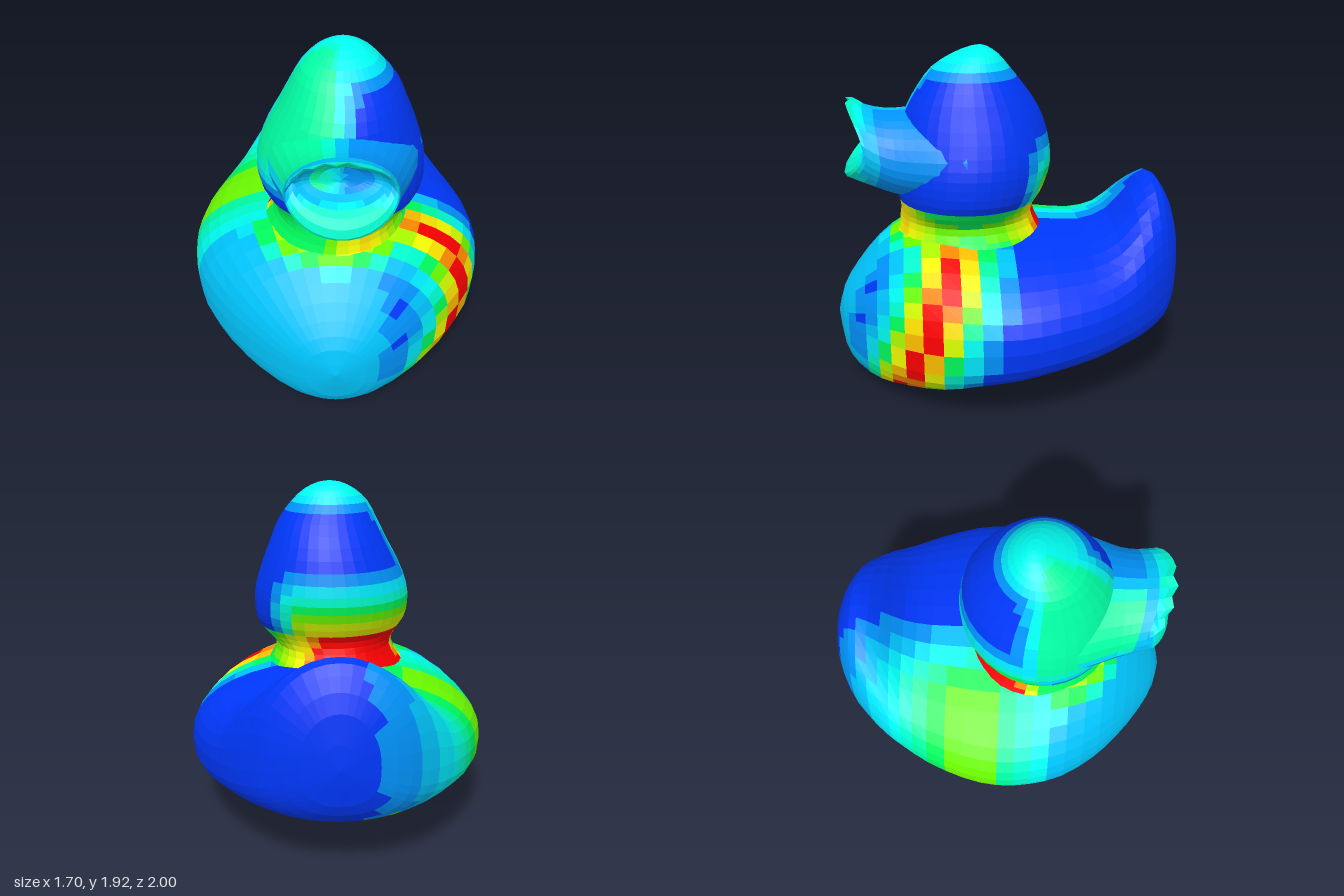
import * as THREE from 'three';

const TAU = Math.PI * 2;
const { smoothstep, clamp } = THREE.MathUtils;

// Facet palette from blue (0) through cyan, green and yellow to red (1)
const LEVELS = 16;
const materials = Array.from({ length: LEVELS }, (_, i) => new THREE.MeshStandardMaterial({
  color: new THREE.Color().setHSL(0.66 * (1 - i / (LEVELS - 1)), 1, 0.48),
  flatShading: true,
  side: THREE.DoubleSide,
}));

// Smoothly resample the rows of a cross-section table
function resample(rows, steps) {
  const out = [];
  const last = rows.length - 1;
  const at = (i) => rows[clamp(i, 0, last)];
  for (let i = 0; i < last; i++) {
    for (let s = 0; s < steps; s++) {
      const t = s / steps;
      out.push(rows[i].map((p1, k) => {
        const p0 = at(i - 1)[k], p2 = at(i + 1)[k], p3 = at(i + 2)[k];
        return p1 + 0.5 * t * (p2 - p0 + t * (2 * p0 - 5 * p1 + 4 * p2 - p3 + t * (3 * (p1 - p2) + p3 - p0)));
      }));
    }
  }
  out.push(rows[last]);
  return out;
}

// Skin rings made by ring(row, angle, index), choosing a heat (0 to 1) for each facet
function loft(name, rows, sides, ring, heat) {
  const points = rows.map((row) =>
    Array.from({ length: sides }, (_, j) => ring(row, (j / sides) * TAU, j)));
  const buckets = materials.map(() => []);
  for (let i = 0; i < rows.length - 1; i++) {
    for (let j = 0; j < sides; j++) {
      const n = (j + 1) % sides;
      const centre = points[i][j].clone().lerp(points[i + 1][n], 0.5);
      const k = Math.round(clamp(heat(centre), 0, 1) * (LEVELS - 1));
      const id = (r, q) => r * sides + q;
      buckets[k].push(id(i, j), id(i, n), id(i + 1, n), id(i, j), id(i + 1, n), id(i + 1, j));
    }
  }
  const geometry = new THREE.BufferGeometry().setFromPoints(points.flat());
  geometry.setIndex(buckets.flat());
  let start = 0;
  buckets.forEach((b, k) => {
    if (b.length) geometry.addGroup(start, b.length, k);
    start += b.length;
  });
  geometry.computeVertexNormals();
  const mesh = new THREE.Mesh(geometry, materials);
  mesh.name = name;
  return mesh;
}

const bell = (v, centre, width) => Math.exp(-(((v - centre) / width) ** 2));

// Body and upturned tail: z, half width, bottom, widest height, top
const bodyRows = [
  [-1, 0, 0.65, 0.65, 0.65],
  [-0.97, 0.2, 0.44, 0.65, 0.93],
  [-0.9, 0.36, 0.33, 0.6, 1.1],
  [-0.82, 0.46, 0.28, 0.57, 1.17],
  [-0.7, 0.57, 0.25, 0.54, 1.08],
  [-0.58, 0.65, 0.23, 0.52, 0.95],
  [-0.42, 0.74, 0.2, 0.5, 0.89],
  [-0.2, 0.82, 0.17, 0.48, 0.9],
  [0, 0.85, 0.13, 0.46, 0.9],
  [0.2, 0.83, 0.085, 0.45, 0.92],
  [0.4, 0.765, 0.035, 0.43, 0.94],
  [0.6, 0.63, 0.01, 0.41, 0.9],
  [0.75, 0.48, 0, 0.4, 0.8],
  [0.88, 0.31, 0.05, 0.38, 0.65],
  [0.96, 0.16, 0.16, 0.37, 0.52],
  [1, 0, 0.37, 0.37, 0.37],
];

// Sections are full below, rounder above, with a hollow under the belly
function bodyRing([z, w, bottom, middle, top], a) {
  const s = Math.sin(a);
  const x = w * Math.cos(a);
  if (s > 0) return new THREE.Vector3(x, middle + (top - middle) * s ** 0.9, z);
  const hollow = 0.09 * s * s * bell(x, 0, 0.4) * bell(z, -0.2, 0.4);
  return new THREE.Vector3(x, middle - (middle - bottom) * (-s) ** 0.65 + hollow, z);
}

function bodyHeat({ x, y, z }) {
  // Underside
  if (y < 0.2 - 0.18 * z && z < 0.75 && z > -0.43 + 1.67 * x) {
    return 0.5 + 0.35 * bell(x, -0.42, 0.2) * bell(z, 0.05, 0.2);
  }
  const stripe = bell(z, 0.47 - 0.4 * (y - 0.5), 0.2) * smoothstep(x, 0.15, 0.45);
  const flank = 0.55 * smoothstep(-x, -0.1, 0.45) * bell(z, -0.2, 0.5);
  const chest = 0.13 * smoothstep(z, 0.1, 0.4) * smoothstep(-x, -0.4, -0.2);
  const shoulder = 0.6 * smoothstep(y, 0.78, 0.9) * smoothstep(z, 0.1, 0.35);
  return Math.max(stripe, flank, chest, shoulder);
}

// Neck and head: y, centre x, half width, back z, front z
const headRows = [
  [0.8, 0, 0.45, -0.26, 0.68],
  [0.89, 0, 0.38, -0.19, 0.63],
  [0.97, 0.01, 0.345, -0.15, 0.615],
  [1.04, 0.03, 0.39, -0.14, 0.61],
  [1.12, 0.03, 0.44, -0.19, 0.63],
  [1.22, 0.025, 0.455, -0.23, 0.65],
  [1.32, 0.025, 0.445, -0.24, 0.64],
  [1.45, 0.03, 0.4, -0.22, 0.61],
  [1.58, 0.04, 0.34, -0.17, 0.57],
  [1.7, 0.045, 0.285, -0.09, 0.5],
  [1.8, 0.035, 0.22, -0.01, 0.42],
  [1.87, 0.035, 0.145, 0.05, 0.31],
  [1.91, 0.035, 0.065, 0.11, 0.21],
  [1.92, 0.035, 0, 0.15, 0.15],
];

const headRing = ([y, cx, rx, back, front], a) => new THREE.Vector3(
  cx + rx * Math.sin(a), y, (back + front) / 2 + ((front - back) / 2) * Math.cos(a));

function headHeat({ x, y, z }) {
  const rear = smoothstep(-z - 0.5 * x, -0.15, 0.1);
  if (y < 1.06) return Math.max(0.45 + 0.35 * bell(x, 0.15, 0.15), rear);
  const nape = rear * clamp(0.85 - (y - 1.06) * 2.2, 0, 1);
  const brow = 0.4 * smoothstep(-x, -0.15, 0.05) * smoothstep(z, 0.05, 0.25) * smoothstep(y, 1.15, 1.35);
  const crown = 0.25 * smoothstep(y, 1.72, 1.86);
  return Math.max(nape, brow, crown);
}

// Open beak, outside then folding back into the mouth: z, half width, bottom, top, lip bulge
const beakRows = [
  [0.25, 0.435, 1.1, 1.6, 0],
  [0.4, 0.395, 1.08, 1.6, 0],
  [0.52, 0.35, 1.09, 1.585, 0],
  [0.62, 0.31, 1.11, 1.575, 0.02],
  [0.7, 0.29, 1.15, 1.585, 0.05],
  [0.77, 0.28, 1.2, 1.62, 0.1],
  [0.79, 0.27, 1.23, 1.64, 0.12],
  [0.77, 0.24, 1.32, 1.6, 0.1],
  [0.73, 0.2, 1.35, 1.56, 0.05],
  [0.7, 0.11, 1.38, 1.5, 0],
  [0.69, 0, 1.42, 1.42, 0],
];

function beakRing([z, rx, bottom, top, bulge], a, j) {
  const s = Math.sin(a);
  const c = Math.cos(a);
  const middle = bottom + (top - bottom) * 0.42;
  // Ragged edge on one side of the upper lip
  const jag = s > 0 && c < 0.2 && bulge > 0.08 ? (j % 2) * 0.025 : 0;
  return new THREE.Vector3(
    0.03 + rx * c,
    middle + s * (s > 0 ? top - middle : middle - bottom),
    z + bulge * Math.abs(s) ** 1.5 * (s > 0 ? 0.85 : 1.05) - jag);
}

function beakHeat({ x, y, z }) {
  const lip = 0.33 * smoothstep(z, 0.74, 0.84);
  const cheek = 0.4 * smoothstep(-x, -0.12, 0.1) * smoothstep(y, 1.25, 1.4);
  return Math.max(0.05, lip, z < 0.72 ? cheek : 0.12);
}

export function createModel() {
  const model = new THREE.Group();
  model.name = 'duck';
  model.add(
    loft('body', resample(bodyRows, 2), 40, bodyRing, bodyHeat),
    loft('neckAndHead', resample(headRows, 2), 36, headRing, headHeat),
    loft('beak', resample(beakRows, 2), 30, beakRing, beakHeat)
  );
  return model;
}
